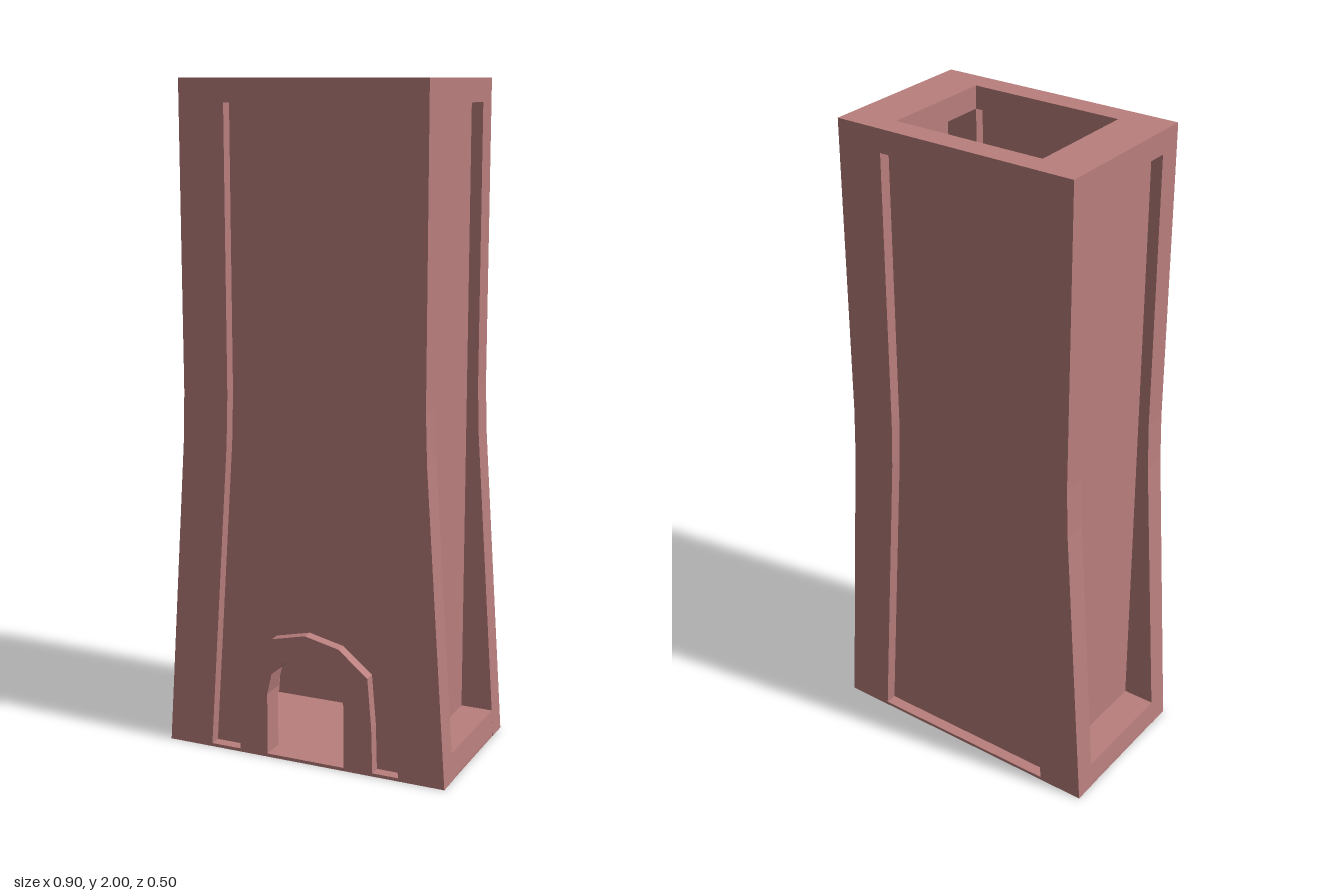
import * as THREE from 'three';

const material = new THREE.MeshStandardMaterial({ color: 0xb97f7d, side: THREE.DoubleSide });

// Outer side profile: flared foot, straight above
const profile = [[0.45, 0], [0.385, 0.95], [0.38, 1.1], [0.38, 2]];
const ARCH_X = 0.008;
const POST_W = 0.143; // post width in x
const POST_Z = 0.178; // inner face of the posts in z
const RAIL_Y = 1.932; // underside of the top rails
const WALL_X = 0.345; // upright core walls behind the flared frame
const WALL_Z = 0.215;
const WALL_TOP = 1.96;
const THICK = 0.006;

function polygon(points) {
  return points.map(([x, y]) => new THREE.Vector2(x, y));
}

// Corner post following the side profile
function postShape(sign) {
  const outer = profile.map(([x, y]) => [sign * x, y]);
  const inner = profile.map(([x, y]) => [sign * (x - POST_W), y]).reverse();
  return new THREE.Shape(polygon([...outer, ...inner]));
}

// Mirrored arch outline from its right half, listed bottom to crown
function arch(half) {
  const left = half.filter(([x]) => x > 0).map(([x, y]) => [-x, y]).reverse();
  return polygon([...half, ...left].map(([x, y]) => [x + ARCH_X, y]));
}

// Front or back core wall
function wallShape() {
  return new THREE.Shape(polygon([
    [-WALL_X, 0.005], [WALL_X, 0.005], [WALL_X, WALL_TOP], [-WALL_X, WALL_TOP],
  ]));
}

export function createModel() {
  const group = new THREE.Group();

  const add = (name, geometry) => {
    const mesh = new THREE.Mesh(geometry, material);
    mesh.name = name;
    group.add(mesh);
  };
  const extrude = (name, shape, z0, z1) => {
    const geometry = new THREE.ExtrudeGeometry(shape, { depth: z1 - z0, bevelEnabled: false });
    add(name, geometry.translate(0, 0, z0));
  };
  const box = (name, x0, x1, y0, y1, z0, z1) => {
    const geometry = new THREE.BoxGeometry(Math.abs(x1 - x0), y1 - y0, z1 - z0);
    add(name, geometry.translate((x0 + x1) / 2, (y0 + y1) / 2, (z0 + z1) / 2));
  };

  const innerArch = [[0.125, 0.01], [0.125, 0.2], [0.11, 0.265], [0.062, 0.31], [0, 0.32]];
  const outerArch = [[0.217, 0.01], [0.213, 0.15], [0.2, 0.3], [0.108, 0.375], [0, 0.4]];
  const flueX = 0.38 - POST_W;

  // Floor plate
  box('floorPlate', -0.449, 0.449, 0, 0.01, -0.25, 0.25);

  for (const s of [1, -1]) {
    const side = s > 0 ? 'left' : 'right';

    // Corner posts and the upright side wall between them
    extrude(`${side}FrontPost`, postShape(s), POST_Z, 0.25);
    extrude(`${side}BackPost`, postShape(s), -0.25, -POST_Z);
    box(`${side}Wall`, s * (WALL_X - THICK), s * WALL_X, 0.005, WALL_TOP, -WALL_Z, WALL_Z);

    // Side rails
    const topRail = [[flueX, RAIL_Y], [0.38, RAIL_Y], [0.38, 2], [flueX, 2]];
    const bottomRail = [[0.307, 0.01], [0.449, 0.01], [0.4443, 0.083], [0.302, 0.083]];
    for (const [name, points] of [['TopRail', topRail], ['BottomRail', bottomRail]]) {
      const shape = new THREE.Shape(polygon(points.map(([x, y]) => [s * x, y])));
      extrude(side + name, shape, -POST_Z, POST_Z);
    }
  }

  // Front and back top rails around the open flue
  box('frontTopRail', -flueX, flueX, RAIL_Y, 2, POST_Z, 0.25);
  box('backTopRail', -flueX, flueX, RAIL_Y, 2, -0.25, -POST_Z);

  // Front and back walls; the front one is open at the arch
  const frontWall = wallShape();
  frontWall.holes.push(new THREE.Path(arch(innerArch)));
  extrude('frontWall', frontWall, WALL_Z - THICK, WALL_Z);
  extrude('backWall', wallShape(), -WALL_Z, -WALL_Z + THICK);

  // Arch surround of the hearth opening
  const surround = new THREE.Shape([...arch(outerArch), ...arch(innerArch).reverse()]);
  extrude('archSurround', surround, POST_Z, 0.25);

  return group;
}
